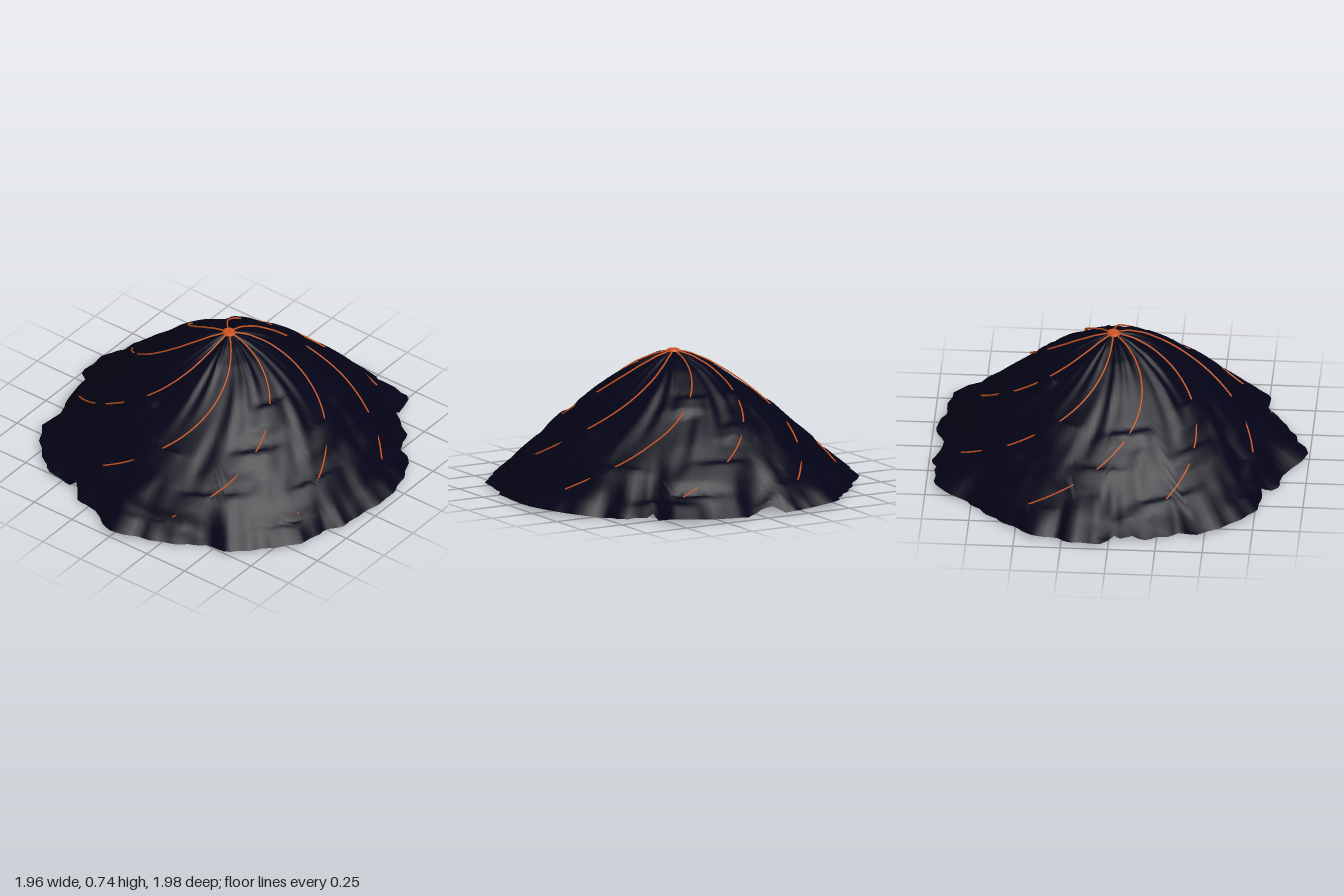
import * as THREE from 'three';

const CENTRE_Z = -0.035;
const SIDES = 180, RINGS = 60;
const DEG = Math.PI / 180;
const { lerp, smoothstep, clamp } = THREE.MathUtils;

// Skirt outline: [angle in degrees, radius]
const RIM = [
  [-180, .98], [-177, .91], [-164, .93], [-153, .916], [-150, .99], [-143, .997], [-127, .99], [-116, .9], [-109, .95],
  [-102, .92], [-97, .97], [-90, 1.035], [-82, .98], [-74, .96], [-60, .905], [-53, .99], [-41, .97],
  [-30, .99], [-19, .92], [-14, .96], [-5, .94], [7, .98], [20, .974], [30, .955], [34, .9],
  [41, .94], [52, .91], [59, 1.02], [72, .955], [79, .97], [90, .89], [97, .917], [101, .98],
  [104, .95], [117, 1.02], [128, .93], [139, .934], [152, .95], [158, 1], [165, .95], [169, .997], [180, .98],
];

// Slope heights: [radius, height]
const SLOPE = [
  [0, .757], [.1, .73], [.2, .685], [.3, .622], [.36, .58], [.476, .49],
  [.62, .37], [.72, .275], [.795, .205], [.88, .115], [.96, .03], [1.1, .02],
];

// Radii between which each lava stream lies above the ground
const STREAMS = [
  [[-1, .365], [.43, .53], [.61, .71], [.83, .86]],
  [[-1, .37], [.46, .735], [.81, .89]],
  [[-1, .58], [.68, .76], [.865, .885]],
  [[-1, .41], [.52, .59], [.69, .76], [.86, .885]],
  [[-1, .62], [.72, .795], [.87, .89]],
  [[-1, .476], [.58, .65], [.71, .81], [.885, .9]],
  [[-1, .525], [.57, .675], [.76, .855]],
  [[-1, .51], [.61, .69], [.78, .835]],
];

function lookup(table, v) {
  for (let i = 1; i < table.length; i++) {
    const [a, ya] = table[i - 1], [b, yb] = table[i];
    if (v <= b) return ya + (yb - ya) * (v - a) / (b - a);
  }
  return table[table.length - 1][1];
}

// Outline radius with small extra teeth
function rimRadius(angle) {
  const deg = ((angle / DEG + 180) % 360 + 360) % 360 - 180;
  return lookup(RIM, deg) + 0.006 * Math.sin(45 * angle);
}

// Each stream spirals clockwise as it descends
function streamAngle(k, r) {
  return (135 - 45 * k - 94 * Math.pow(r, 1.7)) * DEG;
}

// Ground height: slope stretched to the outline, cut by gullies, rising over buried stretches of lava
function groundHeight(angle, r) {
  const R = rimRadius(angle), t = Math.min(r / R, 1);
  const turn = (streamAngle(0, r) - angle) / (45 * DEG);
  const k = Math.round(turn);
  const near = Math.cos(Math.PI * (turn - k)) ** 2 * (1 - smoothstep(r, 0.88, 0.94));
  const inside = Math.max(...STREAMS[(k % 8 + 8) % 8].map(([a, b]) => Math.min(r - a, b - r)));
  const cover = clamp(-inside / 0.012, -1, 1) * 0.012 * smoothstep(r, 0, 0.1);

  const stretch = lerp(1, 0.96 / R, smoothstep(t, 0.6, 1) * (1 - near));
  const a = angle + 0.4 * t * t;
  const gully = Math.sin(9 * a + 1) * 0.4 + Math.sin(17 * a + 2.3) * 0.35
    + Math.sin(31 * a + 0.7 + 3 * t) * 0.35 + Math.sin(5 * a + 14 * t) * 0.3;
  const cut = Math.sin(Math.PI * Math.pow(t, 0.8)) * (0.015 * gully - 0.004);
  const edgeLift = Math.max(-0.015, 0.3 * (R - 0.95)) * Math.pow(t, 12) * (1 - near);
  return lookup(SLOPE, r * stretch) + edgeLift + lerp(cut, cover, near);
}

function place(angle, r, y) {
  return new THREE.Vector3(r * Math.cos(angle), y, CENTRE_Z - r * Math.sin(angle));
}

// Open mountain shell from concentric rings
function mountainGeometry() {
  const pos = [], index = [];
  for (let j = 0; j <= RINGS; j++) {
    for (let i = 0; i < SIDES; i++) {
      const angle = i / SIDES * 2 * Math.PI;
      const r = j / RINGS * rimRadius(angle);
      pos.push(...place(angle, r, groundHeight(angle, r)).toArray());
    }
  }
  for (let j = 0; j < RINGS; j++) {
    for (let i = 0; i < SIDES; i++) {
      const k = (i + 1) % SIDES;
      const a = j * SIDES + i, b = a + SIDES, c = (j + 1) * SIDES + k, d = j * SIDES + k;
      index.push(a, b, c);
      if (j > 0) index.push(a, c, d);
    }
  }
  const g = new THREE.BufferGeometry();
  g.setAttribute('position', new THREE.Float32BufferAttribute(pos, 3));
  g.setIndex(index);
  g.computeVertexNormals();
  return g;
}

// Smooth spiral tube that the ground covers in places
function streamGeometry(k) {
  const points = [];
  for (let r = 0.02; r < 0.9; r += 0.04) {
    points.push(place(streamAngle(k, r), r, lookup(SLOPE, r)));
  }
  return new THREE.TubeGeometry(new THREE.CatmullRomCurve3(points), 80, 0.0045, 6);
}

export function createModel() {
  const rock = new THREE.MeshStandardMaterial({ color: 0x030316, side: THREE.DoubleSide });
  rock.name = 'dark rock';
  const lava = new THREE.MeshStandardMaterial({ color: 0xcc5520 });
  lava.name = 'lava orange';

  const model = new THREE.Group();
  model.name = 'mountain';
  const add = (name, geometry, material) => {
    const mesh = new THREE.Mesh(geometry, material);
    mesh.name = name;
    model.add(mesh);
    return mesh;
  };

  add('mountainShell', mountainGeometry(), rock);
  STREAMS.forEach((_, k) => add('lavaStream' + (k + 1), streamGeometry(k), lava));

  // Small glowing cap on the summit
  add('summitCap', new THREE.CylinderGeometry(0.03, 0.036, 0.012, 16), lava).position.set(0, 0.754, CENTRE_Z);
  return model;
}
